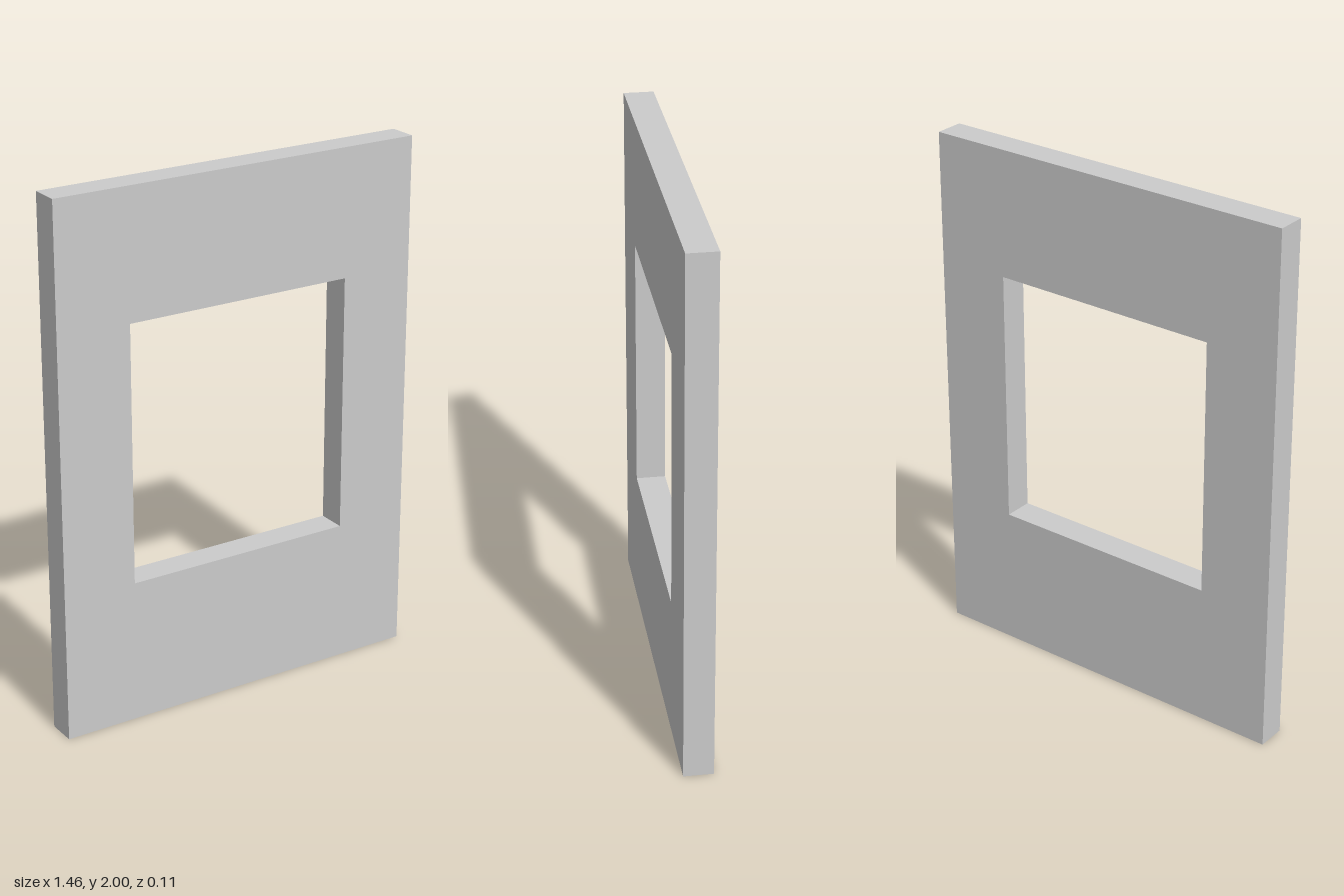
import * as THREE from 'three';

const WIDTH = 1.455, HEIGHT = 2, DEPTH = 0.11;
const OPENING = { width: 0.89, bottom: 0.543, top: 1.517 };

// Rectangle outline from bottom to top, centred on x = 0
function rectangle(path, width, bottom, top) {
  const h = width / 2;
  path.moveTo(-h, bottom);
  path.lineTo(h, bottom);
  path.lineTo(h, top);
  path.lineTo(-h, top);
  path.closePath();
  return path;
}

export function createModel() {
  const group = new THREE.Group();
  group.name = 'wallWithWindow';

  // Wall panel with a window opening cut through it
  const outline = rectangle(new THREE.Shape(), WIDTH, 0, HEIGHT);
  outline.holes.push(rectangle(new THREE.Path(), OPENING.width, OPENING.bottom, OPENING.top));
  const geometry = new THREE.ExtrudeGeometry(outline, { depth: DEPTH, bevelEnabled: false });
  geometry.translate(0, 0, -DEPTH / 2);

  const wall = new THREE.Mesh(geometry, new THREE.MeshStandardMaterial({ color: 0xcccccc }));
  wall.name = 'wallPanel';
  group.add(wall);
  return group;
}
